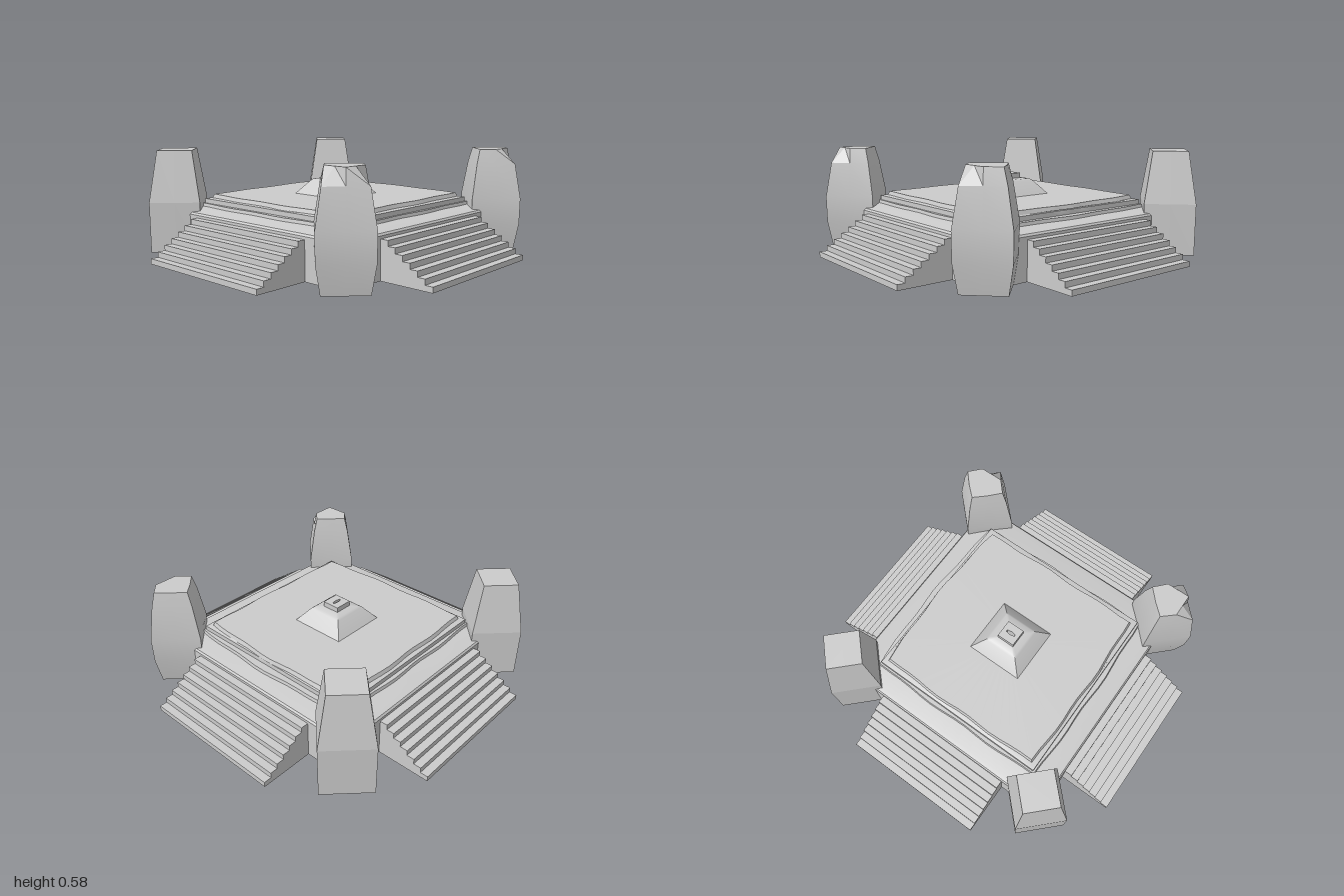
import * as THREE from 'three';
import { toCreasedNormals } from 'three/addons/utils/BufferGeometryUtils.js';

const material = new THREE.MeshStandardMaterial({ color: 0xcccccc, side: THREE.DoubleSide });

function makeMesh(name, geometry) {
  const mesh = new THREE.Mesh(geometry, material);
  mesh.name = name;
  return mesh;
}

// Skin a stack of closed rings (each an array of [x, y, z], anticlockwise from above)
function loft(rings, crease = 0.4) {
  const positions = [];
  for (let i = 0; i < rings.length - 1; i++) {
    const low = rings[i], high = rings[i + 1], n = low.length;
    for (let j = 0; j < n; j++) {
      const k = (j + 1) % n;
      positions.push(...low[j], ...low[k], ...high[j], ...low[k], ...high[k], ...high[j]);
    }
  }
  const geometry = new THREE.BufferGeometry();
  geometry.setAttribute('position', new THREE.Float32BufferAttribute(positions, 3));
  return toCreasedNormals(geometry, crease);
}

// Square ring; wave scales the worn outline, which bulges most at the back
function squareRing(half, y, wave = 0, steps = 14) {
  const bulge = [0.005, 0.03, 0.01, 0.015];
  const ring = [];
  for (let s = 0; s < 4; s++) {
    for (let i = 0; i < steps; i++) {
      const u = (i / steps) * 2 - 1;
      const fade = 1 - u * u;
      const out = half + wave * (bulge[s] * fade + 0.006 * Math.sin(u * 8 + s * 2) * Math.sqrt(fade));
      let x = out, z = -u * half;
      for (let r = 0; r < s; r++) [x, z] = [z, -x];
      ring.push([x, y, z]);
    }
  }
  return ring;
}

// Hollow staircase climbing towards the platform wall
function staircase() {
  const group = new THREE.Group();
  const steps = 7, width = 0.43, inner = 0.69, run = 0.31 / steps, rise = 0.03;
  const profile = [[1, 0]];
  for (let i = 0; i < steps; i++) {
    profile.push([1 - i * run, (i + 1) * rise], [1 - (i + 1) * run, (i + 1) * rise]);
  }
  const positions = [];
  for (let i = 0; i < profile.length - 1; i++) {
    const [z0, y0] = profile[i], [z1, y1] = profile[i + 1];
    positions.push(-width, y0, z0, width, y0, z0, width, y1, z1);
    positions.push(-width, y0, z0, width, y1, z1, -width, y1, z1);
  }
  const treads = new THREE.BufferGeometry();
  treads.setAttribute('position', new THREE.Float32BufferAttribute(positions, 3));
  treads.computeVertexNormals();
  group.add(makeMesh('treads', treads));

  const outline = new THREE.Shape([...profile, [inner, 0]].map(([z, y]) => new THREE.Vector2(-z, y)));
  for (const side of [-1, 1]) {
    const cheek = makeMesh('stairSide', new THREE.ShapeGeometry(outline));
    cheek.rotation.y = Math.PI / 2;
    cheek.position.x = side * width;
    group.add(cheek);
  }
  return group;
}

// Diamond ring with eight points: four corners and the middles of the edges
function diamondRing(radius, y, middle = radius / 2, cornerRadius = () => radius) {
  const ring = [];
  for (let c = 0; c < 4; c++) {
    const a = c * Math.PI / 2, b = a + Math.PI / 4;
    const r = cornerRadius(c), m = middle * Math.SQRT2;
    ring.push([r * Math.cos(a), y, -r * Math.sin(a)], [m * Math.cos(b), y, -m * Math.sin(b)]);
  }
  return ring;
}

// Plain pillar: straight below, tapered above
function plainPillar() {
  return loft([
    diamondRing(0.2, 0), diamondRing(0.203, 0.29),
    diamondRing(0.14, 0.585), diamondRing(0, 0.585),
  ], 0.1);
}

// Worn pillar: pinched foot, with some top corners cut away
function wornPillar(cutCorners) {
  return loft([
    diamondRing(0.165, 0), diamondRing(0.197, 0.15), diamondRing(0.2, 0.3), diamondRing(0.158, 0.5),
    diamondRing(0.13, 0.585, 0.068, (c) => (cutCorners.includes(c) ? 0.068 : 0.13)),
    diamondRing(0, 0.585),
  ], 0.2);
}

export function createModel() {
  const model = new THREE.Group();
  model.name = 'steppedTemple';

  // Open-bottomed platform with a sloping ledge and worn terraces
  model.add(makeMesh('platform', loft([
    squareRing(0.69, 0), squareRing(0.69, 0.225), squareRing(0.682, 0.236), squareRing(0.66, 0.24),
    squareRing(0.56, 0.25, 1), squareRing(0.556, 0.268, 1),
    squareRing(0.546, 0.268), squareRing(0.546, 0.294),
    squareRing(0.535, 0.296), squareRing(0.515, 0.298, 1), squareRing(0.507, 0.32, 1),
    squareRing(0.17, 0.322),
  ])));

  // Central mound, hollow underneath
  model.add(makeMesh('mound', loft([
    squareRing(0.17, 0.322), squareRing(0.16, 0.333), squareRing(0.105, 0.4),
    squareRing(0.093, 0.409), squareRing(0.045, 0.413),
  ], 0.7)));

  // Cap block pierced by a narrow slot
  const slotPoints = [[0.005, -0.028], [0.01, 0], [0.005, 0.028], [-0.005, 0.028], [-0.01, 0], [-0.005, -0.028]];
  const capShape = new THREE.Shape([[-0.053, -0.053], [0.053, -0.053], [0.053, 0.053], [-0.053, 0.053]]
    .map((p) => new THREE.Vector2(...p)));
  capShape.holes.push(new THREE.Path(slotPoints.map((p) => new THREE.Vector2(...p))));
  const cap = makeMesh('capBlock', new THREE.ExtrudeGeometry(capShape, { depth: 0.032, bevelEnabled: false }));
  cap.rotation.x = -Math.PI / 2;
  cap.position.y = 0.41;
  model.add(cap);

  // Shaft hanging from the slot inside the mound
  const shaftRing = (y) => slotPoints.map(([x, z]) => [x, y, -z]);
  model.add(makeMesh('shaft', loft([shaftRing(0.3), shaftRing(0.44)])));

  // Four staircases
  ['front', 'left', 'back', 'right'].forEach((side, i) => {
    const stairs = staircase();
    stairs.name = side + 'Stairs';
    stairs.rotation.y = i * Math.PI / 2;
    model.add(stairs);
  });

  // Corner pillars: worn on the left, plain on the right
  for (const [end, z] of [['Front', 0.65], ['Back', -0.66]]) {
    const worn = makeMesh('left' + end + 'Pillar', wornPillar(z > 0 ? [0, 3] : [0]));
    worn.position.set(0.652, 0, z);
    const plain = makeMesh('right' + end + 'Pillar', plainPillar());
    plain.position.set(-0.66, 0, z);
    model.add(worn, plain);
  }
  return model;
}
